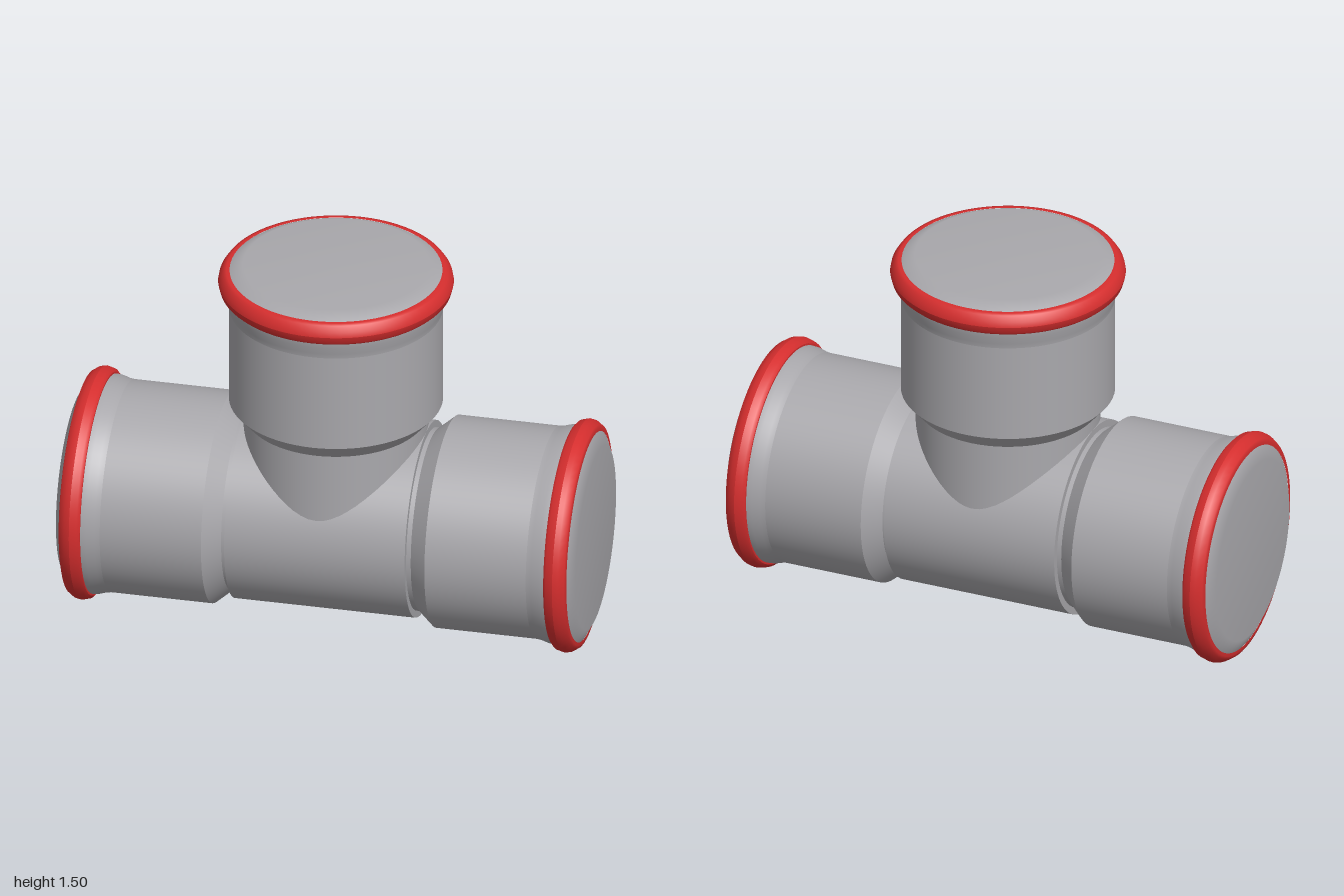
import * as THREE from 'three';

const AXIS_Y = 0.445;
const SEGMENTS = 72;

export function createModel() {
  const grey = new THREE.MeshStandardMaterial({ color: 0xa9a8ac });
  grey.name = 'grey plastic';
  const red = new THREE.MeshStandardMaterial({ color: 0xd62e2e });
  red.name = 'red seal';

  const lathe = (name, profile, material) => {
    const points = profile.map(([r, h]) => new THREE.Vector2(r, h));
    const mesh = new THREE.Mesh(new THREE.LatheGeometry(points, SEGMENTS), material);
    mesh.name = name;
    return mesh;
  };

  // One socket pointing along +y, with its end at height 1
  const makeSocket = (name) => {
    const socket = new THREE.Group();
    socket.name = name;
    socket.add(
      lathe('neck', [[0.347, 0], [0.347, 0.365]], grey),
      lathe('shoulder', [[0.347, 0.365], [0.403, 0.43]], grey),
      lathe('barrel', [[0.403, 0.43], [0.403, 0.82]], grey),
      lathe('lip', [[0.403, 0.82], [0.406, 0.84], [0.415, 0.87], [0.417, 0.895]], grey),
      lathe('sealUnderside', [[0.403, 0.892], [0.424, 0.892]], red),
      lathe('sealLower', [[0.424, 0.892], [0.436, 0.903], [0.443, 0.93]], red),
      lathe('sealUpper', [[0.443, 0.93], [0.439, 0.95], [0.424, 0.972], [0.412, 0.976], [0.4, 0.976]], red),
      lathe('endCap', [[0.402, 0.974], [0.35, 1], [0, 1]], grey),
    );
    return socket;
  };

  const model = new THREE.Group();
  model.name = 'teeFitting';

  // Central run
  const run = new THREE.Mesh(new THREE.CylinderGeometry(0.374, 0.374, 0.695, SEGMENTS), grey);
  run.name = 'runPipe';
  run.rotation.z = Math.PI / 2;
  run.position.y = AXIS_Y;
  model.add(run);

  // Sockets on both ends of the run
  for (const side of [1, -1]) {
    const socket = makeSocket(side > 0 ? 'leftSocket' : 'rightSocket');
    socket.rotation.z = -side * Math.PI / 2;
    socket.position.y = AXIS_Y;
    model.add(socket);
  }

  // Upright branch
  const branch = makeSocket('branchSocket');
  branch.position.y = 0.5;
  model.add(branch);

  // Lower part of the branch pipe, sunk into the run
  return model;
}
